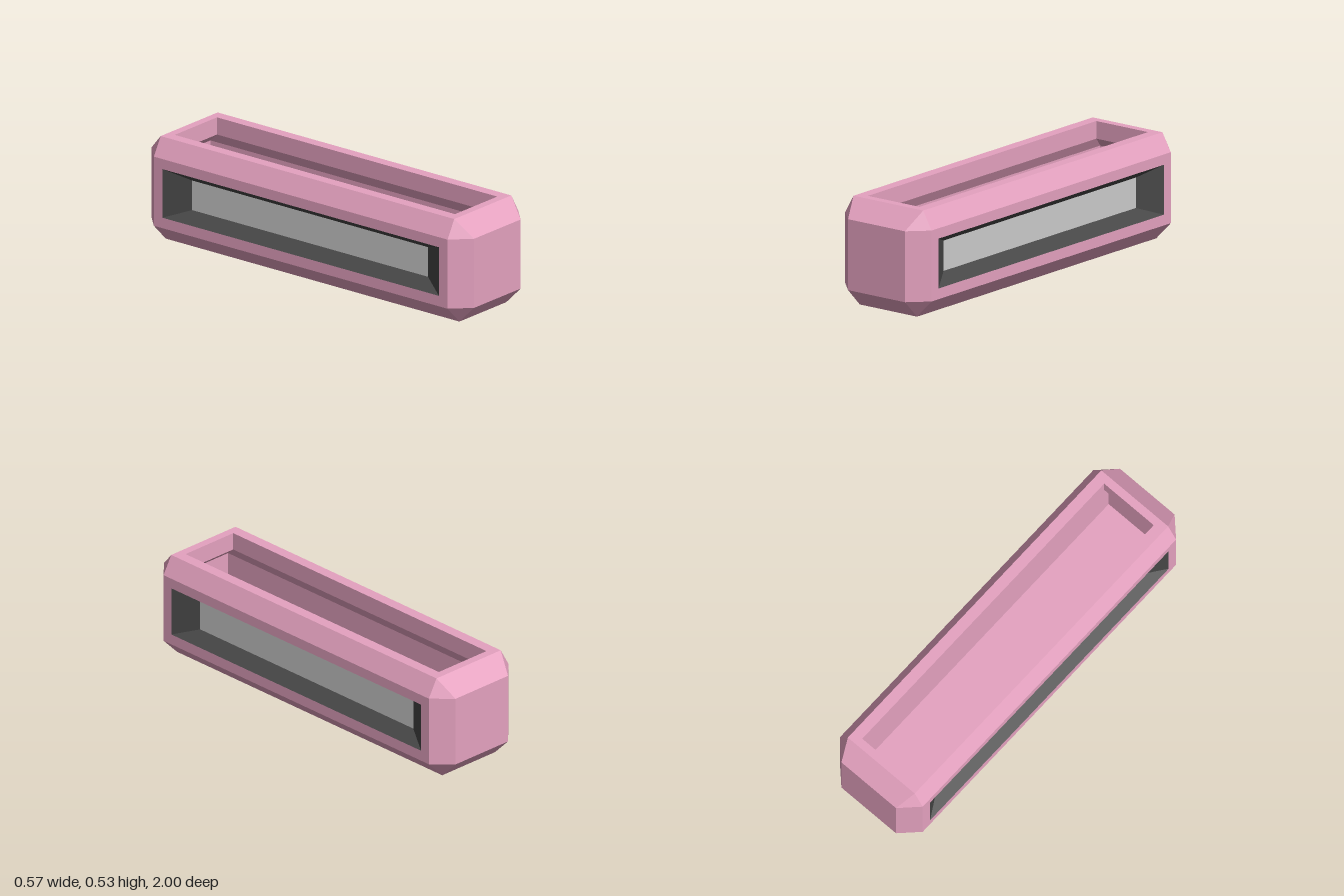
import * as THREE from 'three';

const W = 0.264, L = 0.996;          // half width and half length
const Y1 = 0.09, Y2 = 0.44, TOP = 0.53;
const SIDE = 0.906;                  // half length of the flat long side

const mat = (color) => new THREE.MeshStandardMaterial({ color, flatShading: true, side: THREE.DoubleSide });

// Eight-point horizontal ring: half sizes a, b, with corners cut by c
const ring = (y, a, b, c = 0) => [
  [a, b - c], [a, c - b], [a - c, -b], [c - a, -b],
  [-a, c - b], [-a, b - c], [c - a, b], [a - c, b],
].map(([x, z]) => new THREE.Vector3(x, y, z));

const rect = (a, b, y, z) => [[-a, -b], [a, -b], [a, b], [-a, b]].map(([u, v]) => new THREE.Vector3(u, v + y, z));

// Faceted skin over successive rings; zero-area triangles are dropped
function loft(rings, { skip = () => false, caps = false } = {}) {
  const pos = [];
  const tri = (a, b, c) => {
    const area = b.clone().sub(a).cross(c.clone().sub(a)).length();
    if (area > 1e-7) for (const p of [a, b, c]) pos.push(p.x, p.y, p.z);
  };
  for (let r = 0; r < rings.length - 1; r++) {
    const A = rings[r], B = rings[r + 1], n = A.length;
    for (let i = 0; i < n; i++) {
      if (skip(r, i)) continue;
      const j = (i + 1) % n;
      tri(A[i], A[j], B[j]);
      tri(A[i], B[j], B[i]);
    }
  }
  if (caps) {
    const A = rings[0], B = rings[rings.length - 1];
    for (let i = 1; i < A.length - 1; i++) {
      tri(A[0], A[i + 1], A[i]);
      tri(B[0], B[i], B[i + 1]);
    }
  }
  const g = new THREE.BufferGeometry();
  g.setAttribute('position', new THREE.Float32BufferAttribute(pos, 3));
  g.computeVertexNormals();
  return g;
}

function mesh(name, geometry, material) {
  const m = new THREE.Mesh(geometry, material);
  m.name = name;
  return m;
}

export function createModel() {
  const group = new THREE.Group();
  group.name = 'trough';
  const pink = mat(0xe5a2c0), dark = mat(0x474747), grey = mat(0xcccccc);

  // Chamfered shell, over the rim and down into the cavity; long sides left open
  group.add(mesh('shell', loft([
    ring(0, 0.175, SIDE),
    ring(Y1, W, L, 0.09),
    ring(Y2, W, L, 0.09),
    ring(TOP, 0.213, SIDE),
    ring(TOP, 0.158, 0.865),
    ring(0.443, 0.158, 0.865),
    ring(0.39, 0.187, 0.93),
    ring(0.06, 0.187, 0.93),
  ], { skip: (r, i) => r === 1 && i % 4 === 0, caps: true }), pink));

  // Both long sides: frame, tapered recess and panel
  const midY = 0.266, oa = 0.853, ob = 0.123, ia = 0.728, ib = 0.075, depth = 0.07;
  const frame = new THREE.Shape([[-SIDE, Y1], [SIDE, Y1], [SIDE, Y2], [-SIDE, Y2]].map((p) => new THREE.Vector2(...p)));
  frame.holes.push(new THREE.Path(rect(oa, ob, midY, 0).map((p) => new THREE.Vector2(p.x, p.y)).reverse()));
  const frameGeo = new THREE.ShapeGeometry(frame).translate(0, 0, W);
  const recessGeo = loft([rect(oa, ob, midY, W), rect(ia, ib, midY, W - depth)]);
  const panelGeo = new THREE.PlaneGeometry(2 * ia, 2 * ib).translate(0, midY, W - depth);
  for (const [name, s] of [['left', 1], ['right', -1]]) {
    const side = new THREE.Group();
    side.name = name + 'Side';
    side.rotation.y = s * Math.PI / 2;
    side.add(mesh(name + 'Frame', frameGeo, pink), mesh(name + 'Recess', recessGeo, dark), mesh(name + 'Panel', panelGeo, grey));
    group.add(side);
  }

  // The whole body stands slightly turned
  group.rotation.y = -0.0243;
  return group;
}
